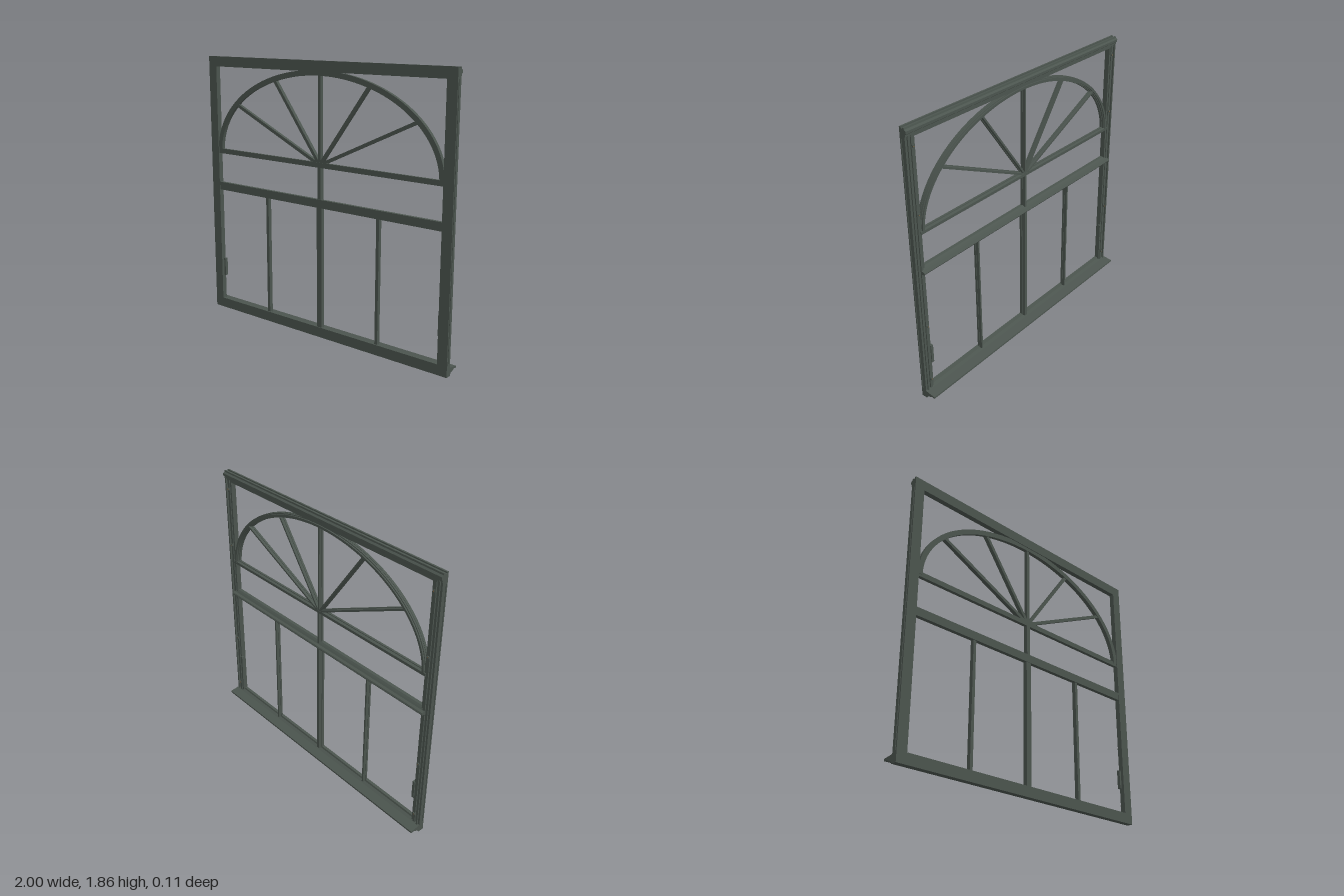
import * as THREE from 'three';
import { toCreasedNormals } from 'three/addons/utils/BufferGeometryUtils.js';

export function createModel() {
  const group = new THREE.Group();
  group.name = 'archedWindowFrame';
  const paint = new THREE.MeshStandardMaterial({ color: 0x4b544e });
  paint.name = 'dark green grey paint';
  const brass = new THREE.MeshStandardMaterial({ color: 0x96683a });
  brass.name = 'brass';

  const add = (name, geometry, material = paint) => {
    const mesh = new THREE.Mesh(geometry, material);
    mesh.name = name;
    group.add(mesh);
    return mesh;
  };

  // Sweeps a [u, z] profile from a to b; u points to the left of travel.
  const bar = (name, a, b, profile) => {
    const dx = b[0] - a[0], dy = b[1] - a[1];
    const shape = new THREE.Shape(profile.map(([u, z]) => new THREE.Vector2(-z, u)));
    const geo = new THREE.ExtrudeGeometry(shape, { depth: Math.hypot(dx, dy), bevelEnabled: false });
    geo.rotateY(Math.PI / 2);
    geo.rotateZ(Math.atan2(dy, dx));
    geo.translate(a[0], a[1], 0);
    return add(name, geo);
  };

  // Symmetric stepped glazing profile: full width in front, narrowing behind.
  const moulded = (w, front, back) => {
    const h = w / 2, step = (front - back) * 0.45;
    return [
      [-h, front], [h, front], [h, front - step], [h * 0.72, front - step],
      [h * 0.55, back], [-h * 0.55, back], [-h * 0.72, front - step], [-h, front - step],
    ];
  };

  // Outer frame: jambs with ribbed backs
  const jamb = [
    [0, 0.055], [0.07, 0.055], [0.07, 0.047], [0.066, 0.047], [0.066, 0.04], [0.07, 0.04],
    [0.07, 0.018], [0.056, 0.018], [0.056, 0.01], [0.046, 0.01], [0.046, 0.022],
    [0.03, 0.022], [0.03, 0.014], [0.014, 0.014], [0.014, 0.02], [0, 0.02],
  ];
  bar('rightJamb', [-0.93, 0.05], [-0.93, 1.81], jamb);
  bar('leftJamb', [0.93, 0.05], [0.93, 1.81], jamb.map(([u, z]) => [-u, z]));

  // Head rail with a small crown moulding on the back
  bar('headRail', [-1, 1.79], [1, 1.79], [
    [0, 0.055], [0.07, 0.055], [0.07, 0.043], [0.062, 0.043], [0.062, 0.032], [0.068, 0.03],
    [0.068, 0.02], [0.058, 0.018], [0.05, 0.006], [0.034, 0.006], [0.028, 0.014],
    [0.016, 0.014], [0.016, 0.02], [0, 0.02],
  ]);

  // Bottom rail with the sloping sill behind
  bar('bottomRailAndSill', [-1, 0], [1, 0], [
    [0, 0.055], [0.07, 0.055], [0.07, 0.035], [0.06, 0.03], [0.052, 0.01], [0.042, -0.055],
    [0.03, -0.055], [0.03, -0.042], [0.034, -0.038], [0.022, -0.01], [0.018, 0.005],
    [0.004, 0.014], [0, 0.014],
  ]);

  // Transom with a rounded rib on the back
  bar('transom', [-0.96, 0.933], [0.96, 0.933], [
    [-0.028, 0.052], [0.028, 0.052], [0.028, 0.03], [0.02, 0.02], [0.012, 0.012],
    [0.008, -0.006], [0, -0.011], [-0.008, -0.006], [-0.012, 0.012], [-0.02, 0.02], [-0.028, 0.03],
  ]);
  bar('archBaseRail', [-0.94, 1.19], [0.94, 1.19], moulded(0.034, 0.048, 0.014));

  // Upright bars
  bar('upperMullion', [0, 0.95], [0, 1.19], moulded(0.026, 0.048, 0.014));
  bar('centreMullion', [0, 0.06], [0, 0.92], moulded(0.04, 0.05, 0.012));
  for (const s of [-1, 1]) {
    bar('sideMullion', [s * 0.468, 0.06], [s * 0.468, 0.92], moulded(0.022, 0.046, 0.014));
  }

  // Half-elliptical arch, in stepped layers: [outer inset, inner inset, front, back]
  const layers = [[0, 0, 0.05, 0.034], [0.002, 0.005, 0.034, 0.022], [0.008, 0.011, 0.022, 0.013]];
  for (const [o, i, front, back] of layers) {
    const shape = new THREE.Shape();
    shape.absellipse(0, 1.19, 0.935 - o, 0.61 - o, 0, Math.PI, false);
    shape.absellipse(0, 1.19, 0.9 + i, 0.575 + i, Math.PI, 0, true);
    const geo = new THREE.ExtrudeGeometry(shape, { depth: front - back, bevelEnabled: false, curveSegments: 40 });
    geo.translate(0, 0, back);
    add('arch', toCreasedNormals(geo, 0.5));
  }

  // Fan of spokes
  for (const [x, y] of [[-0.74, 1.53], [-0.39, 1.72], [0, 1.775], [0.39, 1.72], [0.74, 1.53]]) {
    bar('spoke', [0, 1.19], [x, y], moulded(0.022, 0.046, 0.015));
  }

  for (const s of [-1, 1]) {
    // Catches on the inner faces of the jambs
    const handle = add('catch', new THREE.BoxGeometry(0.018, 0.13, 0.022));
    handle.position.set(s * 0.925, 0.31, 0.024);
    // Fixing caps and screws on the jamb backs
    for (const y of [0.125, 0.54, 1.32, 1.74]) {
      const cap = add('fixingCap', new THREE.BoxGeometry(0.012, 0.014, 0.012));
      cap.position.set(s * 0.952, y, 0.012);
      const screw = add('screw', new THREE.CylinderGeometry(0.003, 0.003, 0.002, 8), brass);
      screw.rotation.x = Math.PI / 2;
      screw.position.set(s * 0.952, y, 0.0055);
    }
  }
  return group;
}
